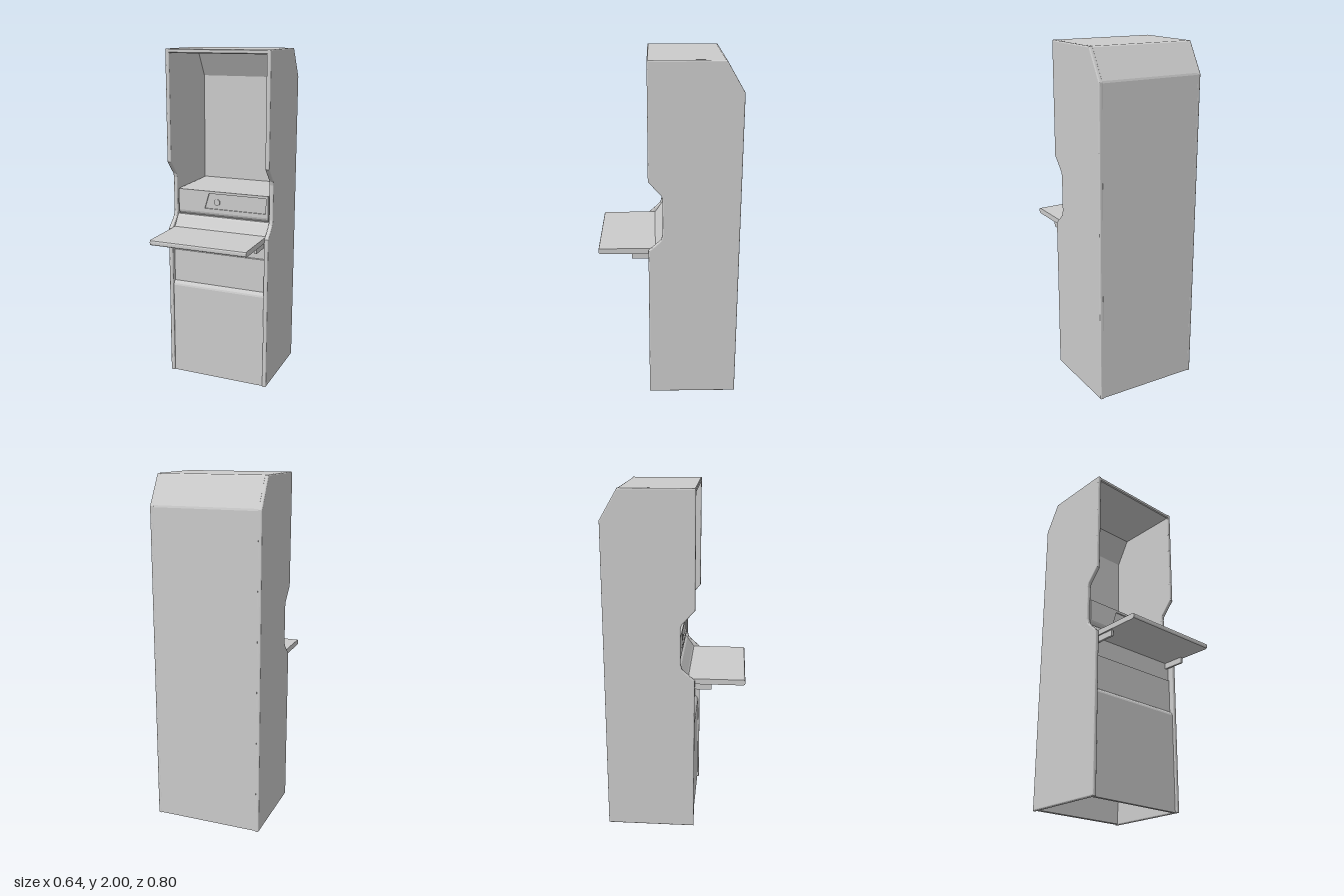
import * as THREE from 'three';

const material = new THREE.MeshStandardMaterial({ color: 0xcccccc });
const INNER = 0.295, WALL = 0.025;

function polygon(points) {
  return new THREE.Shape(points.map(([a, b]) => new THREE.Vector2(a, b)));
}

// Extrudes a (z, y) side profile to a given width along x, centred on x = 0
function extrudeAcross(points, width, bevel = 0) {
  const geometry = new THREE.ExtrudeGeometry(polygon(points), {
    depth: width - 2 * bevel, bevelEnabled: bevel > 0, bevelSize: bevel,
    bevelThickness: bevel, bevelOffset: -bevel, bevelSegments: 3,
  });
  geometry.translate(0, 0, bevel - width / 2);
  geometry.rotateY(-Math.PI / 2);
  return geometry;
}

export function createModel() {
  const model = new THREE.Group();
  model.name = 'kioskCabinet';

  function add(name, geometry, x = 0, y = 0, z = 0, parent = model) {
    const mesh = new THREE.Mesh(geometry, material);
    mesh.name = name;
    mesh.position.set(x, y, z);
    parent.add(mesh);
    return mesh;
  }

  // Side walls with the hand notch and the cut-off rear top corner
  const sideProfile = [
    [0.115, 0], [0.115, 0.935], [0.06, 0.985], [0.043, 1.003], [0.035, 1.03],
    [0.035, 1.24], [0.041, 1.262], [0.115, 1.345], [0.115, 2],
    [-0.3, 2], [-0.4, 1.83], [-0.4, 0],
  ];
  for (const side of [-1, 1]) {
    add(side > 0 ? 'leftWall' : 'rightWall', extrudeAcross(sideProfile, WALL, 0.007), side * (INNER + WALL / 2));
  }

  // Back, sloped rear and roof as one bent sheet
  add('backAndRoof', extrudeAcross([
    [-0.4, 0.004], [-0.4, 1.825], [-0.397, 1.836], [-0.304, 1.994], [-0.294, 2], [0.111, 2],
    [0.115, 1.996], [0.115, 1.98], [0.109, 1.975], [-0.286, 1.975], [-0.375, 1.823], [-0.375, 0.004],
  ], 2 * INNER + 0.012));

  // Lower front with its rounded lip, recessed upper part and sloped backsplash
  add('lowerFront', extrudeAcross([
    [0.105, 0], [0.105, 0.573], [0.102, 0.583], [0.095, 0.592], [0.085, 0.6],
    [0.085, 0.8], [0.078, 0.803], [0.078, 0.94], [0.068, 0.952], [0.034, 1.003], [0.022, 1.012],
    [0.002, 1.012], [0.002, 0.99], [0.022, 0.985], [0.055, 0.935], [0.055, 0.6], [0.085, 0.565], [0.085, 0],
  ], 2 * INNER));

  // Console deck inside the opening
  const console = new THREE.Group();
  console.name = 'console';
  model.add(console);
  add('consoleDeck', extrudeAcross([
    [0.018, 1.17], [0.018, 1.15], [-0.376, 1.15], [-0.376, 1.17],
  ], 0.58), 0, 0, 0, console);
  add('consoleLowerEdge', extrudeAcross([
    [0.03, 1.041], [0.027, 1.03], [0.019, 1.02], [0.006, 1.012], [-0.01, 1.012], [-0.01, 1.041],
  ], 0.575), 0, 0, 0, console);

  // Front plate with a slanted recess, its floor and a round button
  const plate = polygon([[-0.287, 1.04], [0.287, 1.04], [0.287, 1.17], [-0.287, 1.17]]);
  plate.holes.push(polygon([[-0.116, 1.062], [-0.088, 1.155], [0.273, 1.155], [0.273, 1.062]]));
  add('consolePlate', new THREE.ExtrudeGeometry(plate, { depth: 0.012, bevelEnabled: false }), 0, 0, 0.018, console);
  add('recessFloor', new THREE.BoxGeometry(0.42, 0.11, 0.012), 0.08, 1.108, 0.016, console);
  const button = add('button', new THREE.CylinderGeometry(0.019, 0.019, 0.012, 32), -0.037, 1.104, 0.024, console);
  button.rotation.x = Math.PI / 2;

  // Projecting shelf with a rounded front edge
  add('shelf', extrudeAcross([
    [0.06, 0.942], [0.39, 0.942], [0.397, 0.939], [0.4, 0.932],
    [0.4, 0.92], [0.397, 0.913], [0.39, 0.91], [0.06, 0.91],
  ], 2 * INNER));

  // Shelf brackets
  for (const side of [-1, 1]) {
    add(side > 0 ? 'leftBracket' : 'rightBracket', new THREE.BoxGeometry(0.013, 0.04, 0.14), side * 0.279, 0.895, 0.14);
  }

  return model;
}
